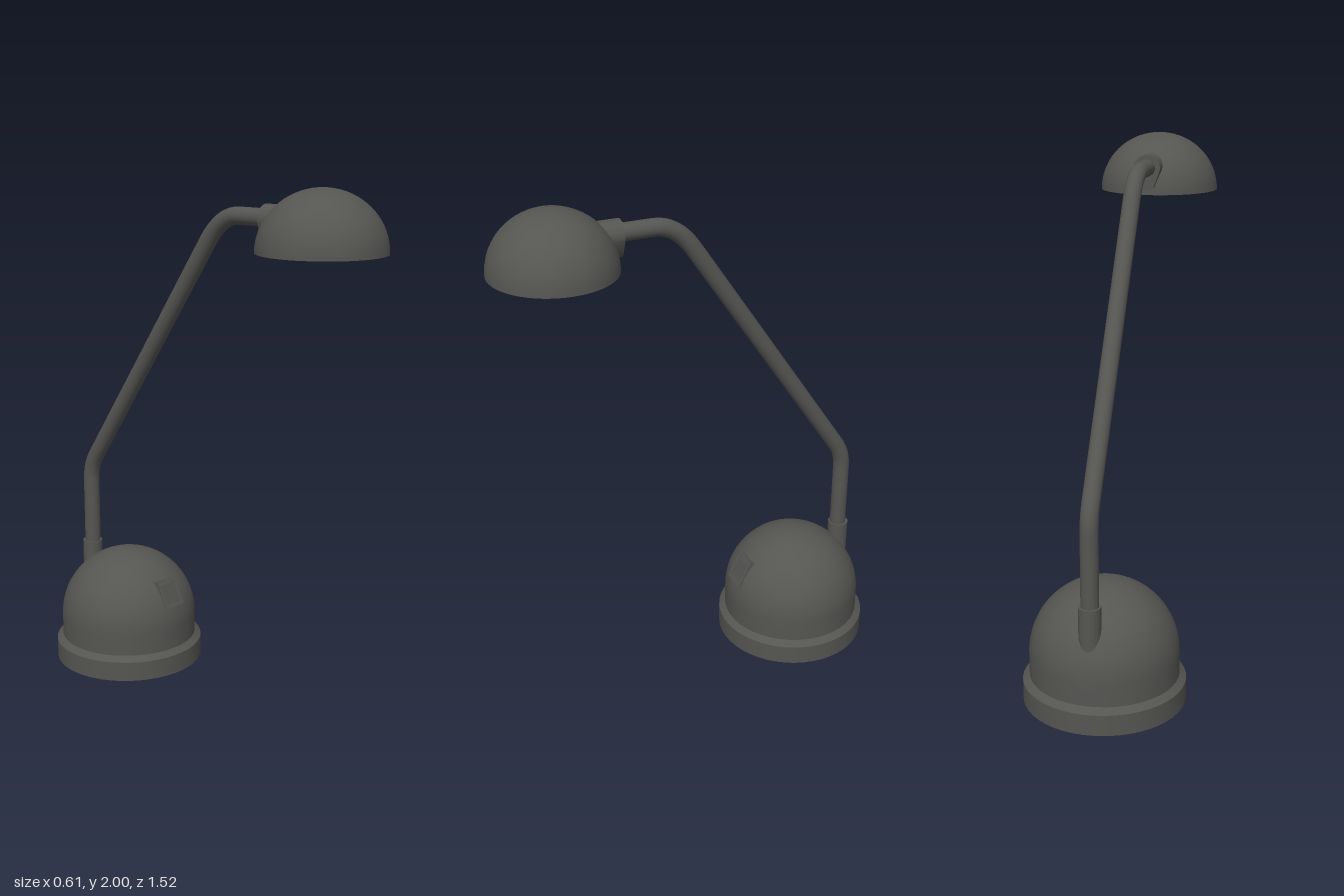
import * as THREE from 'three';
import { toCreasedNormals } from 'three/addons/utils/BufferGeometryUtils.js';

const dark = new THREE.MeshStandardMaterial({ color: 0x555552 });
const glow = new THREE.MeshStandardMaterial({ color: 0xe8dca0 });

const BASE_Z = -0.455, POST_Z = -0.668, SHADE_Z = 0.525;

function add(parent, name, geometry, x = 0, y = 0, z = 0, material = dark) {
  const mesh = new THREE.Mesh(geometry, material);
  mesh.name = name;
  mesh.position.set(x, y, z);
  parent.add(mesh);
  return mesh;
}

// quarter ellipse from the equator up to the pole, as [radius, height]
function quarter(rx, ry, y0, n = 16) {
  return Array.from({ length: n + 1 }, (_, i) => {
    const a = (i / n) * Math.PI / 2;
    return [i === n ? 0 : rx * Math.cos(a), y0 + ry * Math.sin(a)];
  });
}

function lathe(points) {
  const g = new THREE.LatheGeometry(points.map(p => new THREE.Vector2(...p)), 48);
  return toCreasedNormals(g, 0.5);
}

function createArm() {
  const P = (y, z) => new THREE.Vector3(0, y, z);
  const path = new THREE.CurvePath();
  path.add(new THREE.LineCurve3(P(0.25, POST_Z), P(0.73, POST_Z)));
  path.add(new THREE.QuadraticBezierCurve3(P(0.73, POST_Z), P(0.79, POST_Z), P(0.84, -0.634)));
  path.add(new THREE.LineCurve3(P(0.84, -0.634), P(1.78, -0.003)));
  path.add(new THREE.QuadraticBezierCurve3(P(1.78, -0.003), P(1.882, 0.066), P(1.882, 0.15)));
  path.add(new THREE.LineCurve3(P(1.882, 0.15), P(1.882, 0.32)));
  return new THREE.TubeGeometry(path, 100, 0.033, 20);
}

function createSwitch() {
  const group = new THREE.Group();
  group.name = 'switch';
  // frame with a rectangular opening
  const frame = new THREE.Shape([[-0.05, -0.06], [0.05, -0.06], [0.05, 0.06], [-0.05, 0.06]]
    .map(p => new THREE.Vector2(...p)));
  frame.holes.push(new THREE.Path([[-0.036, -0.046], [-0.036, 0.046], [0.036, 0.046], [0.036, -0.046]]
    .map(p => new THREE.Vector2(...p))));
  add(group, 'switchFrame', new THREE.ExtrudeGeometry(frame, { depth: 0.06, bevelEnabled: false }), 0, 0, -0.06);
  // rocker tipped so that its upper end stands proud
  const rocker = add(group, 'switchRocker', new THREE.BoxGeometry(0.066, 0.084, 0.05), 0, 0, -0.025);
  rocker.rotation.x = 0.14;
  group.position.set(0, 0.33, -0.211);
  group.rotation.x = -0.48;
  return group;
}

export function createModel() {
  const lamp = new THREE.Group();
  lamp.name = 'deskLamp';

  // domed base on a wider foot ring
  add(lamp, 'base', lathe([
    [0, 0], [0.305, 0], [0.305, 0.08], [0.28, 0.1],
    ...quarter(0.28, 0.28, 0.185, 20),
  ]), 0, 0, BASE_Z);
  lamp.add(createSwitch());

  // bent arm and the sleeve it stands in
  add(lamp, 'armSleeve', new THREE.CylinderGeometry(0.041, 0.041, 0.25, 24), 0, 0.33, POST_Z - 0.002);
  add(lamp, 'arm', createArm());

  // bracket: round at the top, narrowing downwards
  const bracket = new THREE.Shape();
  bracket.absarc(0, 1.88, 0.052, -0.2, Math.PI + 0.2);
  bracket.lineTo(-0.026, 1.805);
  bracket.quadraticCurveTo(0, 1.78, 0.026, 1.805);
  bracket.closePath();
  add(lamp, 'shadeBracket', toCreasedNormals(
    new THREE.ExtrudeGeometry(bracket, { depth: 0.085, bevelEnabled: false, curveSegments: 20 }), 0.6), 0, 0, 0.275);

  // shade with its recessed reflector bowl
  add(lamp, 'shade', lathe([
    [0, 1.9], [0.05, 1.9], [0.11, 1.88], [0.155, 1.84], [0.175, 1.788],
    [0.185, 1.788], [0.187, 1.81], [0.215, 1.81], [0.222, 1.775],
    ...quarter(0.235, 0.225, 1.775, 18),
  ]), 0, 0, SHADE_Z);

  // bulb and socket
  add(lamp, 'bulbSocket', new THREE.CylinderGeometry(0.03, 0.03, 0.07, 20), 0, 1.875, SHADE_Z);
  add(lamp, 'bulb', new THREE.SphereGeometry(0.046, 24, 16), 0, 1.825, SHADE_Z, glow);

  return lamp;
}
